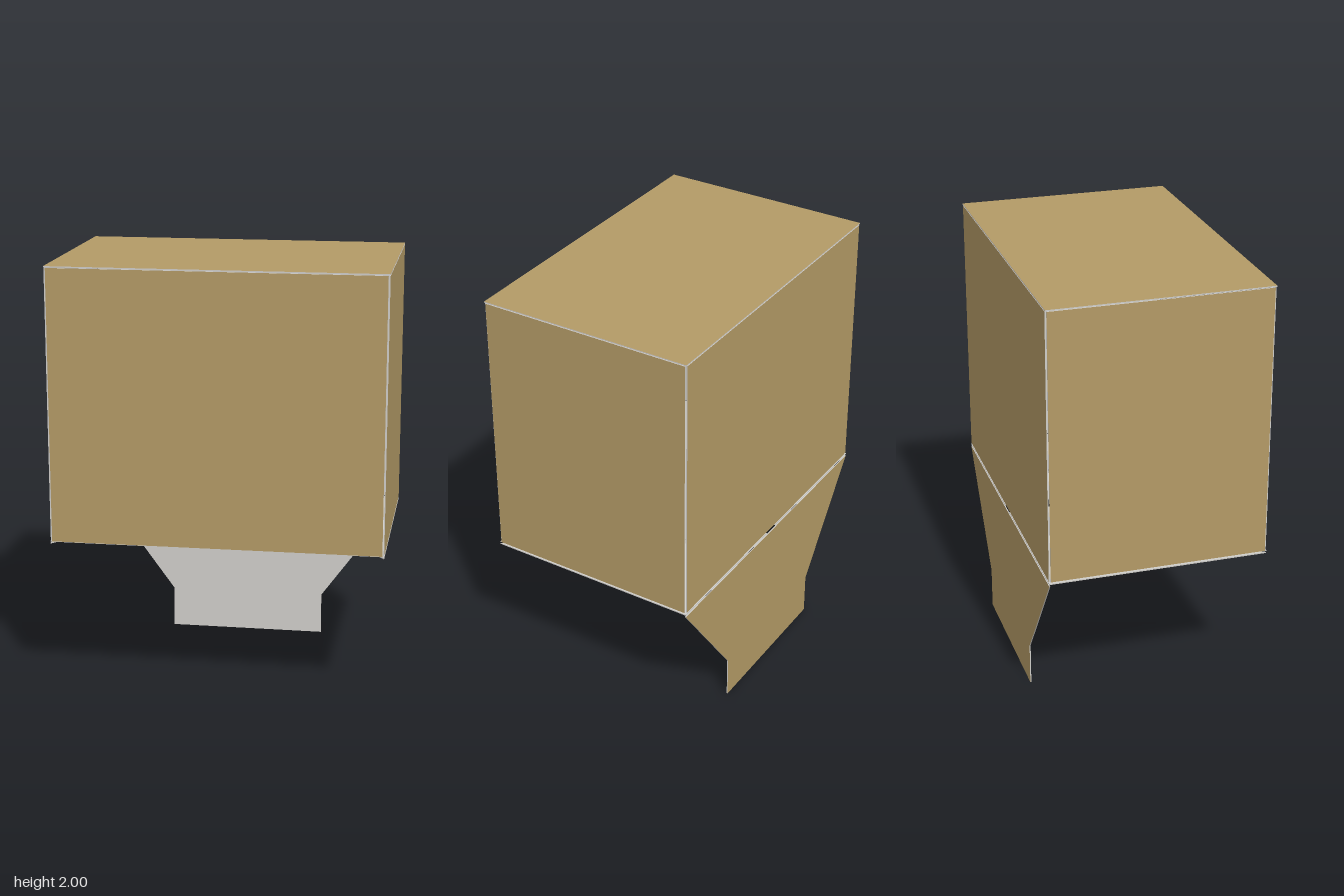
import * as THREE from 'three';

const T = 0.005; // board thickness
const W = 0.76, D = 0.505; // half width and half depth

export function createModel() {
  const kraft = new THREE.MeshStandardMaterial({ color: 0xb39a66 });
  kraft.name = 'kraft outside';
  const liner = new THREE.MeshStandardMaterial({ color: 0xd0ceca });
  liner.name = 'pale liner';

  // Thin sheet in the xy plane: kraft on its +z face, liner on the rest
  function sheet(name, points) {
    const shape = new THREE.Shape(points.map(([x, y]) => new THREE.Vector2(x, y)));
    const g = new THREE.ExtrudeGeometry(shape, { depth: T, bevelEnabled: false });
    const caps = g.groups[0].count, total = g.attributes.position.count;
    g.clearGroups();
    g.addGroup(0, caps / 2, 0);
    g.addGroup(caps / 2, caps / 2, 1);
    g.addGroup(caps, total - caps, 0);
    const mesh = new THREE.Mesh(g, [liner, kraft]);
    mesh.name = name;
    return mesh;
  }
  const rect = (w, y0, y1) => [[-w, y0], [w, y0], [w, y1], [-w, y1]];

  const box = new THREE.Group();
  box.name = 'carton';

  // Four walls, with fine creases left between them
  const walls = [
    ['front', 0, W - 0.008, D],
    ['left', Math.PI / 2, D - 0.007, W],
    ['back', Math.PI, W - 0.008, D],
    ['right', -Math.PI / 2, D - 0.007, W],
  ];
  const sides = {};
  for (const [name, angle, half, out] of walls) {
    const side = new THREE.Group();
    side.name = name + 'Side';
    side.rotation.y = angle;
    const wall = sheet(name + 'Wall', rect(half, 0.74, 1.992));
    wall.position.z = out - T;
    side.add(wall);
    box.add(side);
    sides[name] = side;
  }

  // Closed top
  const top = sheet('topPanel', rect(W, -D, D));
  top.rotation.x = -Math.PI / 2;
  top.position.y = 2 - T;
  box.add(top);

  // Tongue-shaped flap for front and back
  const tongue = [[-W, 0], [-0.38, -0.52], [-0.38, -0.72], [0.38, -0.72], [0.38, -0.52], [W, 0]];

  // Back flap hangs open
  const backFlap = sheet('backFlap', tongue);
  backFlap.position.set(0, 0.72, D - T);
  sides.back.add(backFlap);

  // Front flap is folded shut
  const frontFlap = sheet('frontFlap', tongue);
  frontFlap.rotation.x = Math.PI / 2;
  frontFlap.position.set(0, 0.743, D);
  sides.front.add(frontFlap);

  // Side flaps are folded shut beneath it, cut away towards the front
  for (const [name, s] of [['left', -1], ['right', 1]]) {
    const flap = sheet(name + 'Flap', [
      [-D * s, 0], [D * s, 0], [-0.03 * s, -0.38], [-0.03 * s, -0.72], [-D * s, -0.72],
    ]);
    flap.rotation.x = Math.PI / 2;
    flap.position.set(0, 0.733, W);
    sides[name].add(flap);
  }
  return box;
}
